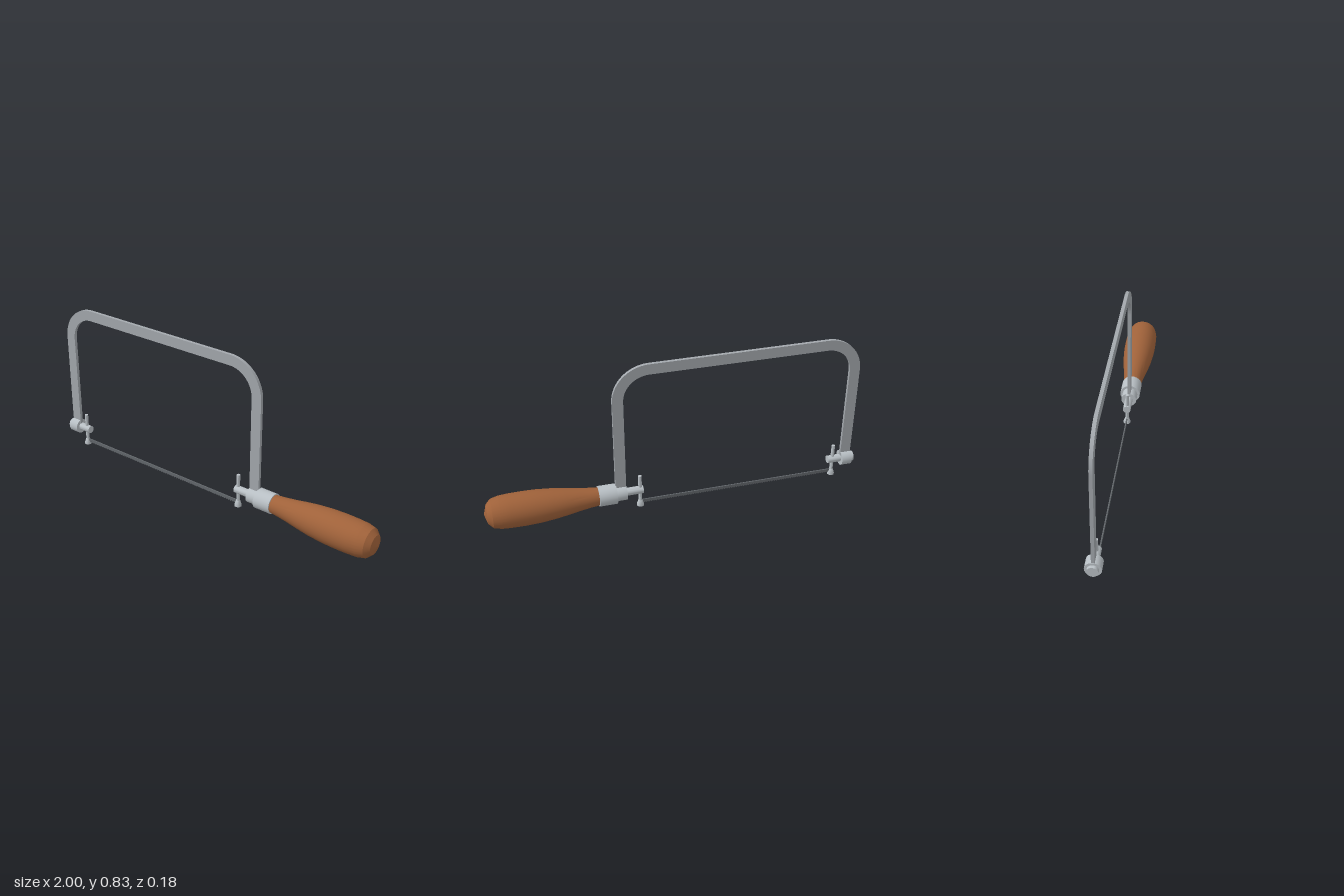
import * as THREE from 'three';
import { toCreasedNormals } from 'three/addons/utils/BufferGeometryUtils.js';

export function createModel() {
  const saw = new THREE.Group();
  saw.name = 'copingSaw';
  const material = (name, color) => {
    const m = new THREE.MeshStandardMaterial({ color });
    m.name = name;
    return m;
  };
  const frameSteel = material('frameSteel', 0xa3a8ad);
  const brightSteel = material('brightSteel', 0xb9c0c5);
  const bladeSteel = material('bladeSteel', 0x62676b);
  const wood = material('wood', 0xa0623a);
  const AXIS = 0.097;

  const add = (name, geometry, mat, parent = saw) => {
    const mesh = new THREE.Mesh(geometry, mat);
    mesh.name = name;
    parent.add(mesh);
    return mesh;
  };
  // Closed turned part along x, given [x, radius] pairs
  const turnX = (name, points, mat, segments = 24, crease = 0.6) => {
    const profile = points.map(([x, r]) => new THREE.Vector2(r, x));
    const g = new THREE.LatheGeometry(profile, segments);
    g.rotateZ(-Math.PI / 2);
    g.translate(0, AXIS, 0);
    return add(name, toCreasedNormals(g, crease), mat);
  };
  const rodX = (name, x0, x1, r, mat) => turnX(name, [[x0, 0], [x0, r], [x1, r], [x1, 0]], mat);

  // Flat bar bent into a bow with two rounded corners
  const left = -0.982, right = 0.325, top = 0.835, width = 0.056, radius = 0.19;
  const inner = radius - width, cy = top - radius;
  const bow = new THREE.Shape();
  bow.moveTo(left, AXIS);
  bow.lineTo(left, cy);
  bow.absarc(left + radius, cy, radius, Math.PI, Math.PI / 2, true);
  bow.absarc(right - radius, cy, radius, Math.PI / 2, 0, true);
  bow.lineTo(right, AXIS);
  bow.lineTo(right - width, AXIS);
  bow.absarc(right - radius, cy, inner, 0, Math.PI / 2, false);
  bow.absarc(left + radius, cy, inner, Math.PI / 2, Math.PI, false);
  bow.lineTo(left + width, AXIS);
  bow.closePath();
  const bowGeometry = new THREE.ExtrudeGeometry(bow, { depth: 0.017, bevelEnabled: false, curveSegments: 14 });
  bowGeometry.translate(0, 0, -0.0085);
  add('frame', toCreasedNormals(bowGeometry, 0.5), frameSteel);

  // Collars and spigots at both frame ends
  rodX('leftCollar', -0.984, -0.928, 0.041, brightSteel);
  rodX('leftEndKnob', -1, -0.98, 0.028, brightSteel);
  rodX('leftSpigot', -0.94, -0.855, 0.021, brightSteel);
  rodX('rightCollar', 0.268, 0.326, 0.041, brightSteel);
  rodX('rightSpigot', 0.178, 0.28, 0.021, brightSteel);

  // Upright tension pins with flared feet
  for (const [name, x] of [['leftPin', -0.884], ['rightPin', 0.194]]) {
    const profile = [[0, 0], [0.019, 0], [0.019, 0.008], [0.011, 0.032], [0.0095, 0.034], [0.0095, 0.185], [0, 0.185]]
      .map(([r, y]) => new THREE.Vector2(r, y));
    const pin = add(name, toCreasedNormals(new THREE.LatheGeometry(profile, 16), 0.5), brightSteel);
    pin.position.x = x;
  }

  // Thin blade with a row of small teeth along the lower edge
  const x0 = -0.884, x1 = 0.194, teeth = 80, pitch = (x1 - x0) / teeth;
  const blade = new THREE.Shape();
  blade.moveTo(x1, 0.033);
  blade.lineTo(x0, 0.033);
  blade.lineTo(x0, 0.018);
  for (let i = 0; i < teeth; i++) {
    blade.lineTo(x0 + (i + 0.7) * pitch, 0.012);
    blade.lineTo(x0 + (i + 1) * pitch, 0.018);
  }
  blade.closePath();
  const bladeGeometry = new THREE.ExtrudeGeometry(blade, { depth: 0.006, bevelEnabled: false });
  bladeGeometry.translate(0, 0, -0.003);
  add('blade', bladeGeometry, bladeSteel);

  // Ferrule and turned handle
  turnX('ferrule', [[0.322, 0], [0.322, 0.054], [0.416, 0.054], [0.416, 0]], brightSteel);
  turnX('handle', [
    [0.41, 0], [0.41, 0.047], [0.46, 0.052], [0.52, 0.06], [0.58, 0.07], [0.65, 0.08], [0.73, 0.087],
    [0.8, 0.089], [0.87, 0.088], [0.92, 0.085], [0.96, 0.075], [0.985, 0.05], [1, 0],
  ], wood, 32, 0.22);
  return saw;
}
